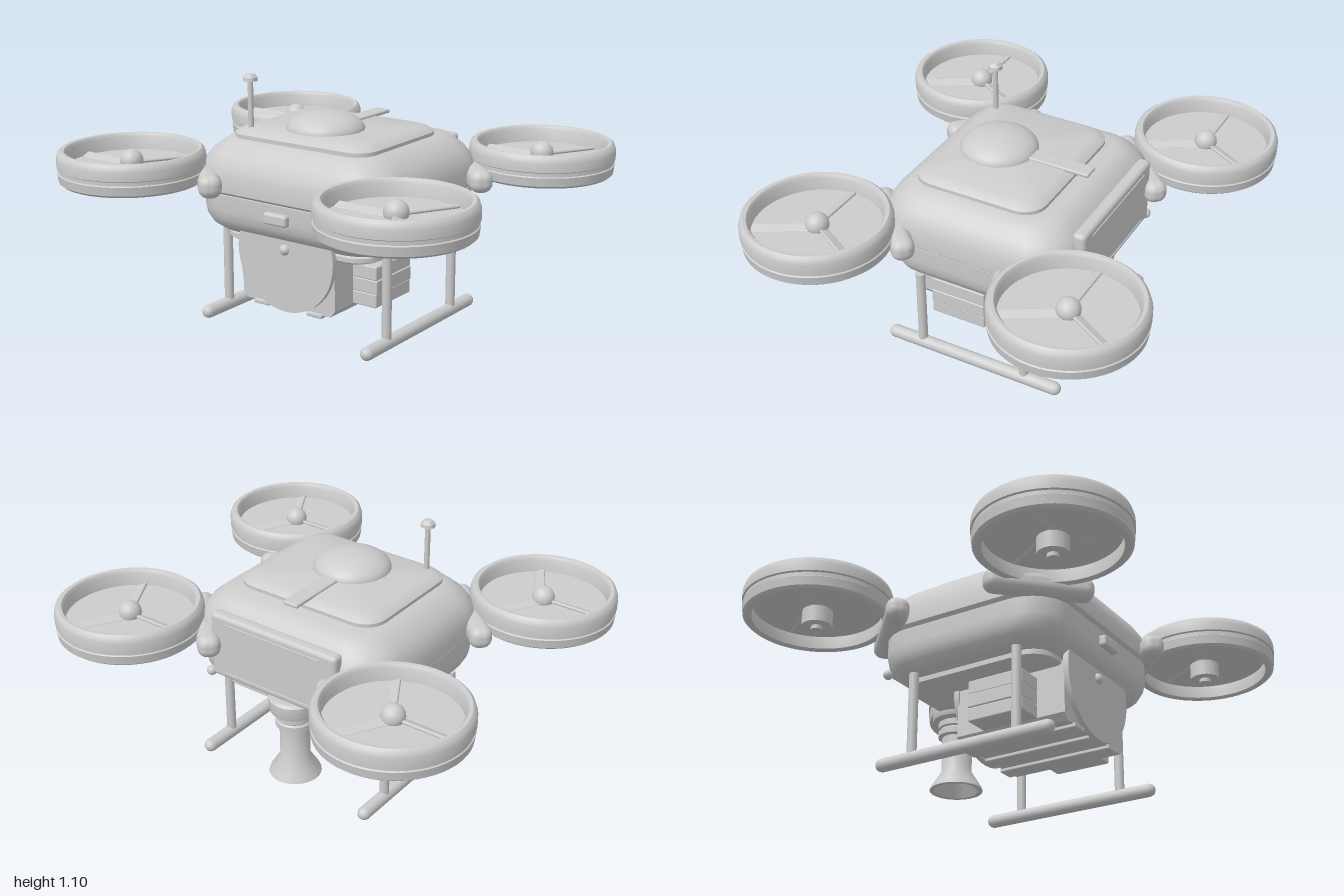
import * as THREE from 'three';
import { toCreasedNormals } from 'three/addons/utils/BufferGeometryUtils.js';
import { RoundedBoxGeometry } from 'three/addons/geometries/RoundedBoxGeometry.js';

const grey = new THREE.MeshStandardMaterial({ color: 0xcccccc });
grey.name = 'light grey';

function add(parent, name, geo, x = 0, y = 0, z = 0) {
  const m = new THREE.Mesh(geo, grey);
  m.name = name;
  m.position.set(x, y, z);
  parent.add(m);
  return m;
}

const rbox = (w, h, d, r) => new RoundedBoxGeometry(w, h, d, 3, r);
const cyl = (r, h, n = 24) => new THREE.CylinderGeometry(r, r, h, n);
const lathe = (pts, n = 48) =>
  toCreasedNormals(new THREE.LatheGeometry(pts.map(p => new THREE.Vector2(...p)), n), 0.6);

// Lofts rounded rectangles [y, halfX, halfZ, cornerRadius] from bottom to top, with flat caps
function loft(sections, seg = 8) {
  const pos = [], idx = [], n = 4 * (seg + 1);
  for (const [y, hx, hz, r] of sections) {
    for (let c = 0; c < 4; c++) for (let i = 0; i <= seg; i++) {
      const a = (c + i / seg) * Math.PI / 2;
      const sx = c === 0 || c === 3 ? 1 : -1, sz = c < 2 ? 1 : -1;
      pos.push(sx * (hx - r) + r * Math.cos(a), y, sz * (hz - r) + r * Math.sin(a));
    }
  }
  const last = sections.length - 1, bottom = (last + 1) * n, top = bottom + 1;
  pos.push(0, sections[0][0], 0, 0, sections[last][0], 0);
  for (let i = 0; i < n; i++) {
    const k = (i + 1) % n;
    for (let j = 0; j < last; j++) {
      const a = j * n + i, b = j * n + k;
      idx.push(a, a + n, b, b, a + n, b + n);
    }
    idx.push(bottom, i, k, top, last * n + k, last * n + i);
  }
  const g = new THREE.BufferGeometry();
  g.setAttribute('position', new THREE.Float32BufferAttribute(pos, 3));
  g.setIndex(idx);
  return toCreasedNormals(g, 0.6);
}

// Ducted rotor, with its origin at y = 0 below the hub
function makeRotor() {
  const g = new THREE.Group();
  g.name = 'rotor';
  add(g, 'duct', lathe([
    [0.275, 0.645], [0.3, 0.64], [0.312, 0.65], [0.317, 0.688], [0.312, 0.692], [0.312, 0.708],
    [0.319, 0.712], [0.319, 0.75], [0.312, 0.772], [0.3, 0.782], [0.285, 0.78], [0.275, 0.765], [0.275, 0.645],
  ], 56));
  add(g, 'rotorDisc', cyl(0.278, 0.006, 48), 0, 0.705, 0);
  add(g, 'motor', cyl(0.065, 0.07), 0, 0.65, 0);
  add(g, 'motorPin', cyl(0.025, 0.03, 16), 0, 0.613, 0);
  add(g, 'hub', new THREE.SphereGeometry(0.05, 24, 16), 0, 0.725, 0);
  for (let i = 0; i < 3; i++) {
    const spoke = new THREE.Group();
    spoke.rotation.y = i * Math.PI * 2 / 3;
    spoke.name = 'bladeSpoke';
    const blade = add(spoke, 'blade', rbox(0.045, 0.014, 0.25, 0.006), -0.01, 0.712, -0.145);
    blade.rotation.z = 0.4;
    g.add(spoke);
  }
  return g;
}

export function createModel() {
  const model = new THREE.Group();
  model.name = 'drone';

  // Hull, belly plate and top deck
  add(model, 'lowerHull', loft([
    [0.41, 0.33, 0.38, 0.12], [0.425, 0.37, 0.43, 0.15], [0.455, 0.41, 0.465, 0.17], [0.49, 0.43, 0.483, 0.18],
    [0.53, 0.437, 0.488, 0.18], [0.6, 0.437, 0.488, 0.18], [0.605, 0.42, 0.475, 0.18],
  ]));
  add(model, 'upperHull', loft([
    [0.6, 0.43, 0.485, 0.18], [0.615, 0.45, 0.5, 0.19], [0.68, 0.45, 0.5, 0.19], [0.73, 0.435, 0.485, 0.18],
    [0.77, 0.41, 0.46, 0.17], [0.8, 0.38, 0.425, 0.15], [0.82, 0.355, 0.395, 0.13], [0.83, 0.32, 0.36, 0.11],
  ]));
  add(model, 'bellyPlate', loft([
    [0.38, 0.34, 0.37, 0.1], [0.39, 0.355, 0.39, 0.11], [0.41, 0.355, 0.39, 0.11], [0.42, 0.34, 0.38, 0.1],
  ]));
  add(model, 'topDeck', loft([
    [0.825, 0.298, 0.36, 0.1], [0.845, 0.298, 0.36, 0.1], [0.86, 0.28, 0.34, 0.09], [0.87, 0.255, 0.315, 0.08],
  ]), -0.032);
  const dome = add(model, 'dome', new THREE.SphereGeometry(0.17, 40, 14, 0, Math.PI * 2, 0, Math.PI / 2), -0.1, 0.865, 0);
  dome.scale.y = 0.47;
  add(model, 'topBar', rbox(0.36, 0.018, 0.075, 0.008), 0.16, 0.872, 0);

  // Antenna
  add(model, 'antennaMast', cyl(0.012, 0.24, 12), -0.27, 0.955, -0.27);
  add(model, 'antennaCap', lathe([[0, 1.065], [0.032, 1.07], [0.03, 1.085], [0.018, 1.098], [0, 1.102]], 24), -0.27, 0, -0.27);

  // Side panel with its bolts, and the small port on the other side
  add(model, 'sidePanel', rbox(0.06, 0.3, 0.65, 0.02), 0.44, 0.64, 0);
  for (const y of [0.52, 0.755]) add(model, 'panelTrim', rbox(0.01, 0.006, 0.5, 0.002), 0.469, y, 0);
  for (const s of [-1, 1]) add(model, 'panelBolt', new THREE.SphereGeometry(0.022, 16, 12), 0.45, 0.49, s * 0.345);
  add(model, 'sidePort', rbox(0.05, 0.05, 0.12, 0.012), -0.44, 0.545, 0);

  // Rotors and the bars that carry them
  for (const sx of [-1, 1]) for (const sz of [-1, 1]) {
    const rotor = makeRotor();
    rotor.position.set(sx * 0.58, 0, sz * 0.68);
    model.add(rotor);
    const bar = add(model, 'rotorBar', rbox(0.46, 0.1, 0.1, 0.042), sx * 0.37, 0.65, sz * 0.44);
    bar.rotation.y = sx * sz * Math.PI / 4;
  }

  // Landing gear
  for (const z of [-0.425, 0.425]) {
    const skid = add(model, 'skid', new THREE.CapsuleGeometry(0.029, 0.795, 6, 16), 0, 0.036, z);
    skid.rotation.z = Math.PI / 2;
    for (const x of [-0.255, 0.25]) add(model, 'leg', cyl(0.021, 0.37, 16), x, 0.23, z);
  }

  // Payload core: a chamfered block between two round end plates
  const s = new THREE.Shape();
  [[-0.24, 0.4], [-0.245, 0.17], [-0.22, 0.14], [0.22, 0.14], [0.245, 0.17], [0.24, 0.4]]
    .forEach(([a, b], i) => (i ? s.lineTo(a, b) : s.moveTo(a, b)));
  const core = add(model, 'payloadCore', new THREE.ExtrudeGeometry(s, { depth: 0.52, bevelEnabled: false }), -0.37, 0, 0);
  core.rotation.y = Math.PI / 2;
  for (const x of [-0.38, 0.155]) {
    const plate = add(model, 'payloadEndPlate', cyl(0.25, 0.025, 40), x, 0.375, 0);
    plate.rotation.z = Math.PI / 2;
  }
  for (const z of [-0.14, 0, 0.14]) add(model, 'payloadRail', rbox(0.54, 0.02, 0.08, 0.006), -0.11, 0.135, z);
  for (const side of [-1, 1]) {
    for (let i = 0; i < 3; i++)
      add(model, 'payloadPack', rbox(0.26, 0.061, i === 1 ? 0.13 : 0.122, 0.006), -0.11, 0.2 + i * 0.06, side * 0.3);
  }
  add(model, 'bellyLight', new THREE.SphereGeometry(0.024, 16, 12), -0.39, 0.4, 0);

  // Hollow nozzle under the side
  add(model, 'nozzle', lathe([
    [0, 0.12], [0.05, 0.12], [0.095, 0.04], [0.115, 0.04], [0.11, 0.055], [0.066, 0.125], [0.066, 0.28],
    [0.083, 0.285], [0.083, 0.31], [0.076, 0.318], [0.083, 0.325], [0.083, 0.35],
    [0.105, 0.36], [0.11, 0.375], [0.11, 0.42], [0.1, 0.432], [0, 0.432],
  ], 40), 0.32);

  return model;
}
